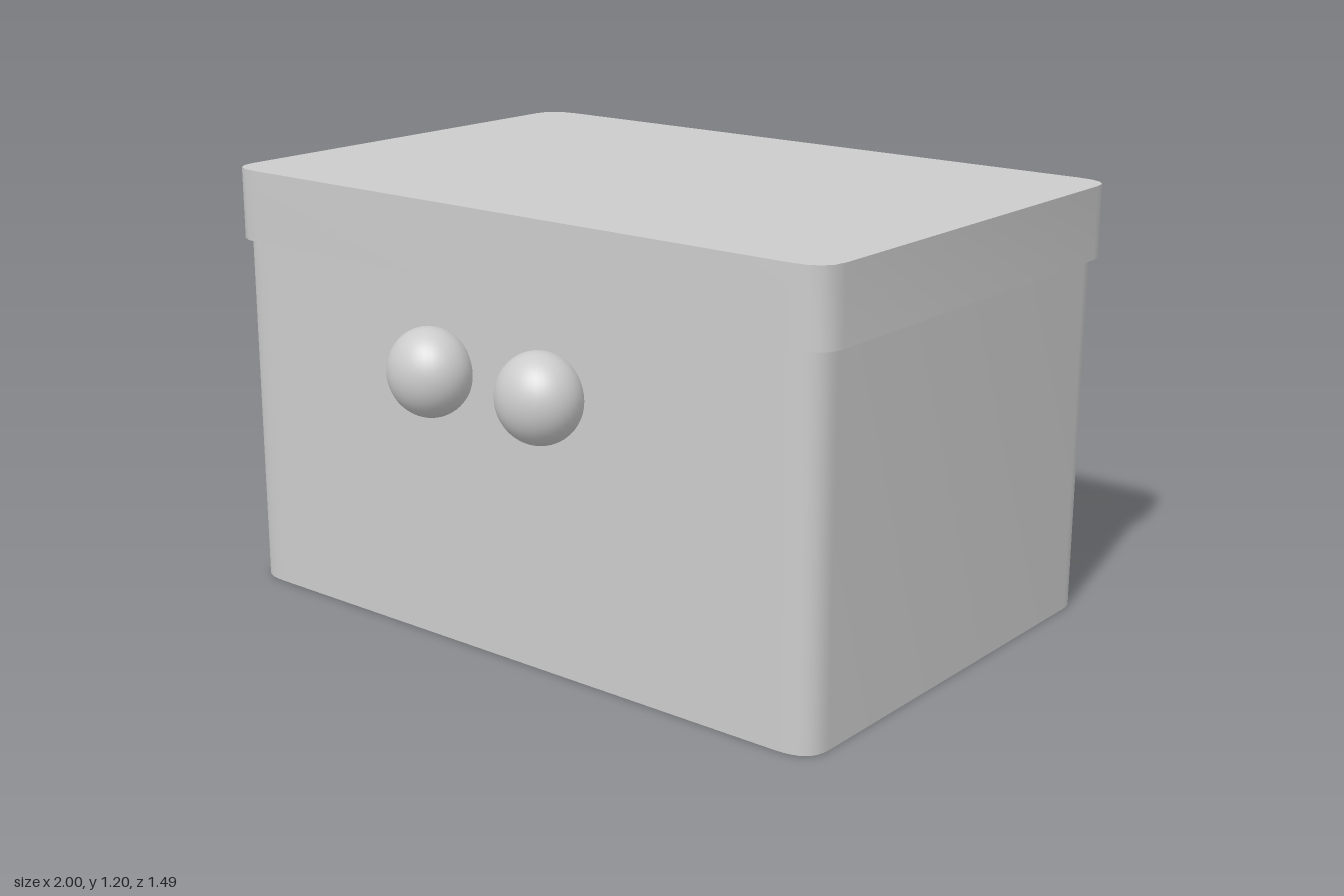
import * as THREE from 'three';
import { toCreasedNormals } from 'three/addons/utils/BufferGeometryUtils.js';

const material = new THREE.MeshStandardMaterial({ color: 0xcccccc });

// Upright slab with rounded vertical corners, standing on y = 0
function roundedSlab(width, depth, height, rx, rz, segments) {
  const x = width / 2, z = depth / 2;
  const s = new THREE.Shape();
  s.moveTo(-x + rx, -z);
  s.lineTo(x - rx, -z);
  s.quadraticCurveTo(x, -z, x, -z + rz);
  s.lineTo(x, z - rz);
  s.quadraticCurveTo(x, z, x - rx, z);
  s.lineTo(-x + rx, z);
  s.quadraticCurveTo(-x, z, -x, z - rz);
  s.lineTo(-x, -z + rz);
  s.quadraticCurveTo(-x, -z, -x + rx, -z);
  const g = new THREE.ExtrudeGeometry(s, { depth: height, bevelEnabled: false, curveSegments: segments });
  g.rotateX(-Math.PI / 2);
  return toCreasedNormals(g, 0.6);
}

export function createModel() {
  const model = new THREE.Group();
  const add = (name, geometry, x, y, z) => {
    const mesh = new THREE.Mesh(geometry, material);
    mesh.name = name;
    mesh.position.set(x, y, z);
    model.add(mesh);
    return mesh;
  };

  // Box body and the slightly wider lid
  add('body', roundedSlab(1.96, 1.32, 1.0, 0.1, 0.08, 8), 0, 0, -0.07);
  add('lid', roundedSlab(2.0, 1.344, 0.2, 0.1, 0.08, 4), 0, 1.0, -0.072);

  // Pair of slightly flattened knobs on the front
  const knob = new THREE.SphereGeometry(0.12, 32, 24).scale(1, 1, 0.875);
  add('rightKnob', knob, -0.2, 0.76, 0.64);
  add('leftKnob', knob, 0.18, 0.76, 0.64);
  return model;
}
